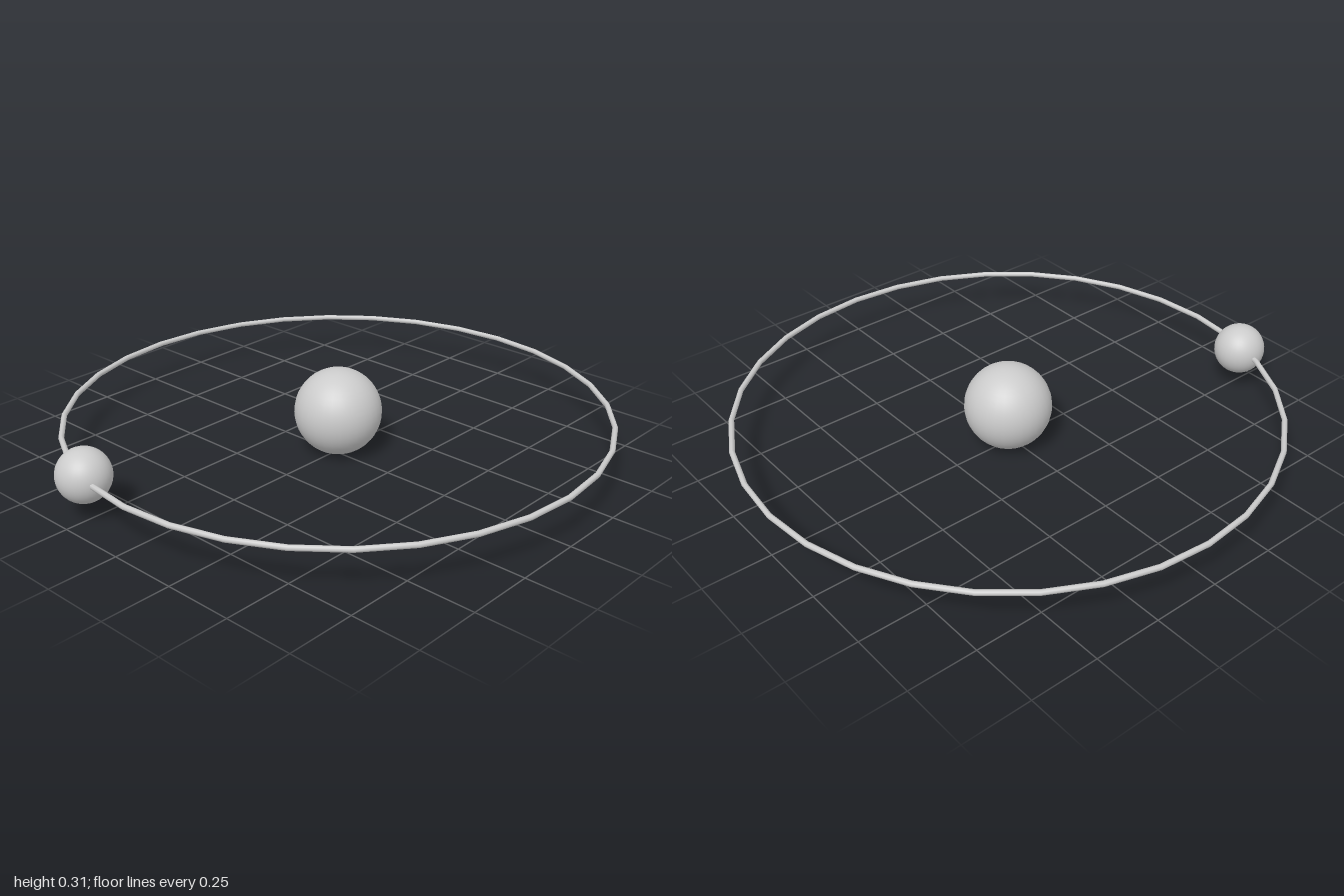
import * as THREE from 'three';

export function createModel() {
  const group = new THREE.Group();
  const material = new THREE.MeshStandardMaterial({ color: 0xcccccc });
  const sunRadius = 0.157;
  const moonRadius = 0.094;

  const add = (name, geometry, x, z) => {
    const mesh = new THREE.Mesh(geometry, material);
    mesh.name = name;
    mesh.position.set(x, sunRadius, z);
    group.add(mesh);
    return mesh;
  };

  // Central body
  add('centralSphere', new THREE.SphereGeometry(sunRadius, 32, 24), 0, -0.017);

  // Thin orbit ring with 32 straight segments, lying flat
  const ring = add('orbitRing', new THREE.TorusGeometry(0.972, 0.01, 8, 32), 0, -0.017);
  ring.rotation.x = Math.PI / 2;

  // Small body threaded on the ring
  add('orbitingSphere', new THREE.SphereGeometry(moonRadius, 32, 24), -0.263, 0.906);

  return group;
}
